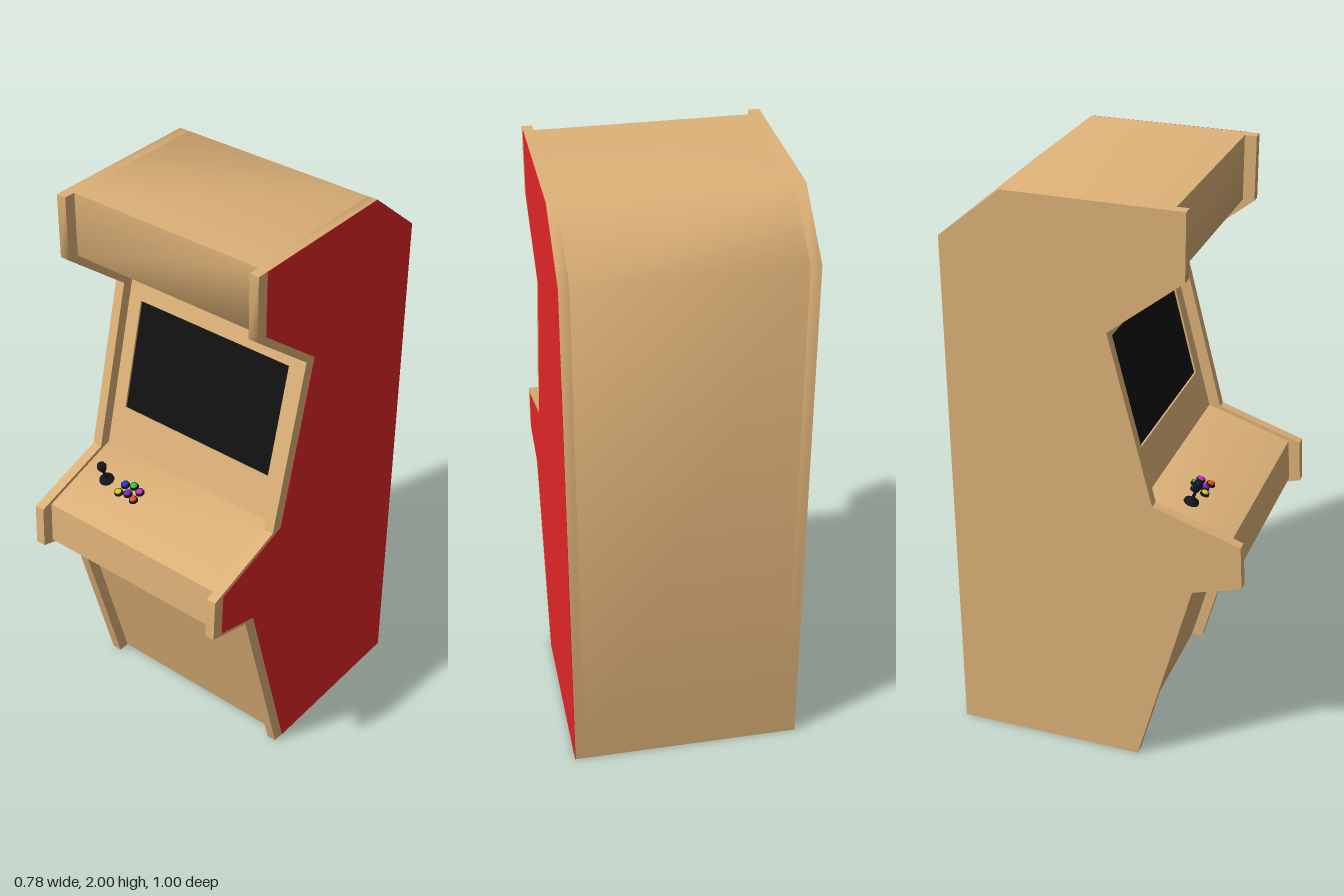
import * as THREE from 'three';
import { toCreasedNormals } from 'three/addons/utils/BufferGeometryUtils.js';

const paint = (color) => new THREE.MeshStandardMaterial({ color });
const wood = paint(0xdeb278);
const red = paint(0xe22626);
const black = paint(0x111111);
const dark = paint(0x14161f);

// Front edge of the cabinet as [z, y], from the floor up
const front = [
  [0.11, 0], [0.295, 0.705], [0.46, 0.755], [0.452, 0.905], [0.157, 1.0],
  [0.007, 1.583], [0.255, 1.78], [0.255, 2.0],
];
const back = [[-0.29, 2.0], [-0.5, 1.828], [-0.5, 0]];
const LIP = 0.04;      // how far the side panels stand out in front
const RECESS = 0.012;  // depth of the screen behind its bezel

// Extrudes a [z, y] outline across x, from x0 to x1
function slab(name, outline, x0, x1, material) {
  const shape = new THREE.Shape(outline.map(([z, y]) => new THREE.Vector2(z, y)));
  const geo = new THREE.ExtrudeGeometry(shape, { depth: x1 - x0, bevelEnabled: false });
  geo.rotateY(-Math.PI / 2).translate(x1, 0, 0);
  const mesh = new THREE.Mesh(toCreasedNormals(geo, 1.0), material);
  mesh.name = name;
  return mesh;
}

function add(parent, name, geometry, material, x = 0, y = 0, z = 0) {
  const mesh = new THREE.Mesh(geometry, material);
  mesh.name = name;
  mesh.position.set(x, y, z);
  parent.add(mesh);
  return mesh;
}

export function createModel() {
  const model = new THREE.Group();
  model.name = 'arcadeCabinet';

  // Body between the side panels, set back where the screen bezel sits
  const [low, high] = [front[4], front[5]];
  const tilt = Math.atan2(low[0] - high[0], high[1] - low[1]);
  const inset = ([z, y]) => [z - RECESS * Math.cos(tilt), y - RECESS * Math.sin(tilt)];
  const core = [...front.slice(0, 5), inset(low), inset(high), ...front.slice(5), ...back];
  model.add(slab('body', core, -0.355, 0.355, wood));

  // Side panels with a raised front lip, and the red sheet on the left one
  const panel = [...front.map(([z, y]) => [z + LIP, y]), ...back];
  model.add(slab('rightSidePanel', panel, -0.39, -0.355, wood));
  model.add(slab('leftSidePanel', panel, 0.355, 0.3885, wood));
  model.add(slab('redSideSheet', [...front, ...back], 0.388, 0.39, red));

  // Screen and its bezel, tilted back
  const display = new THREE.Group();
  display.name = 'display';
  display.position.set(0, (low[1] + high[1]) / 2, (low[0] + high[0]) / 2);
  display.rotation.x = -tilt;
  model.add(display);
  const h = Math.hypot(high[0] - low[0], high[1] - low[1]) / 2;
  const rect = (Type, w, y0, y1) => new Type([
    new THREE.Vector2(-w, y0), new THREE.Vector2(w, y0),
    new THREE.Vector2(w, y1), new THREE.Vector2(-w, y1),
  ]);
  const bezel = rect(THREE.Shape, 0.355, -h, h);
  bezel.holes.push(rect(THREE.Path, 0.305, -0.152, 0.238));
  add(display, 'screenBezel',
    new THREE.ExtrudeGeometry(bezel, { depth: RECESS, bevelEnabled: false }), wood, 0, 0, -RECESS);
  add(display, 'screen', new THREE.BoxGeometry(0.61, 0.39, 0.006), black, 0, 0.043, -RECESS + 0.002);

  // Places a control upright on the sloping control panel
  const [edge, top] = [front[3], front[4]];
  const slope = Math.atan2(top[1] - edge[1], edge[0] - top[0]);
  function control(name, x, z) {
    const g = new THREE.Group();
    g.name = name;
    g.position.set(x, edge[1] + (edge[0] - z) * Math.tan(slope), z);
    g.rotation.x = slope;
    model.add(g);
    return g;
  }

  // Joystick: low dome, shaft and pear-shaped knob
  const stick = control('joystick', -0.252, 0.284);
  const profile = [[0, 0], [0.026, 0], [0.025, 0.006], [0.014, 0.011], [0.006, 0.014], [0.005, 0.04],
    [0.009, 0.05], [0.015, 0.062], [0.017, 0.072], [0.014, 0.082], [0.008, 0.088], [0, 0.09]];
  add(stick, 'joystickLever',
    new THREE.LatheGeometry(profile.map(([r, y]) => new THREE.Vector2(r, y)), 24), dark);

  // Six coloured buttons in dark collars
  const buttons = [
    [-0.178, 0.272, 0x2030e0], [-0.146, 0.263, 0x22cc22], [-0.113, 0.272, 0xd428c8],
    [-0.178, 0.306, 0xd8c81c], [-0.146, 0.296, 0x7a22d0], [-0.113, 0.306, 0xe84a18],
  ];
  for (const [x, z, color] of buttons) {
    const b = control('button', x, z);
    add(b, 'buttonCollar', new THREE.CylinderGeometry(0.014, 0.016, 0.009, 20), dark, 0, 0.0045, 0);
    const cap = add(b, 'buttonCap',
      new THREE.SphereGeometry(0.012, 20, 6, 0, Math.PI * 2, 0, Math.PI / 2), paint(color), 0, 0.008, 0);
    cap.scale.y = 0.6;
  }
  return model;
}
